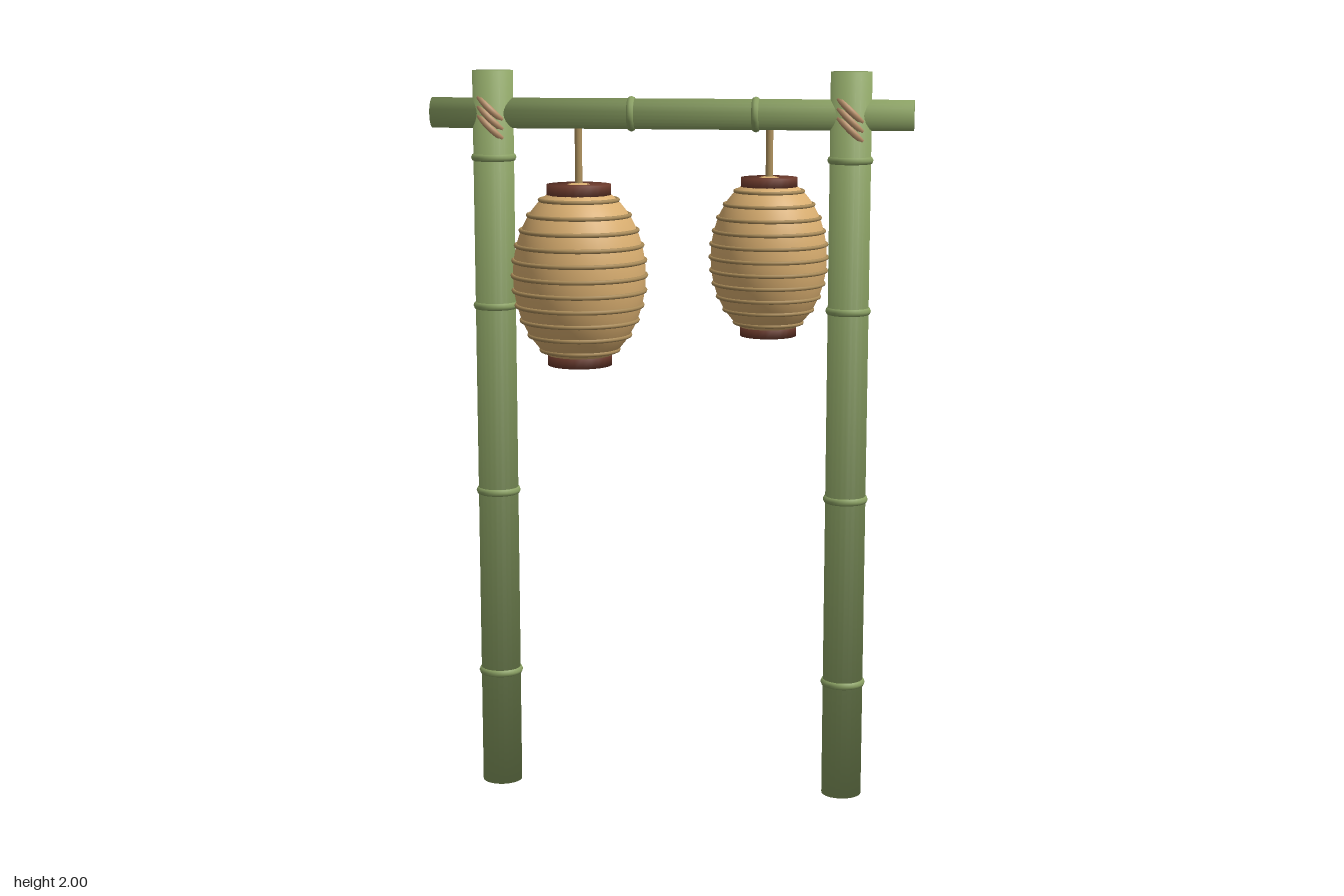
import * as THREE from 'three';

const mat = (name, color) => {
  const m = new THREE.MeshStandardMaterial({ color });
  m.name = name;
  return m;
};

export function createModel() {
  const bamboo = mat('bamboo green', 0x8aa063);
  const paper = mat('lantern paper', 0xd9ae70);
  const ribMat = mat('rib tan', 0xa88a58);
  const wood = mat('red brown wood', 0x6a392b);
  const cord = mat('cord tan', 0xb0935f);
  const lash = mat('lashing rope', 0xb8906a);

  const model = new THREE.Group();
  model.name = 'lanternFrame';

  const add = (parent, name, geometry, material, x = 0, y = 0, z = 0) => {
    const mesh = new THREE.Mesh(geometry, material);
    mesh.name = name;
    mesh.position.set(x, y, z);
    parent.add(mesh);
    return mesh;
  };

  // Cylinder whose rim normals blend softly between the side and the end caps
  const softCylinder = (r, h, sides = 24) => {
    const g = new THREE.CylinderGeometry(r, r, h, sides);
    const p = g.attributes.position;
    for (let i = 0; i < p.count; i++) {
      const x = p.getX(i), z = p.getZ(i);
      if (Math.hypot(x, z) < r * 0.5) continue;
      const n = new THREE.Vector3(x / r, Math.sign(p.getY(i)), z / r).normalize();
      g.attributes.normal.setXYZ(i, n.x, n.y, n.z);
    }
    return g;
  };

  // Ring lying flat around the y axis
  const ring = (r, tube, segments = 32) =>
    new THREE.TorusGeometry(r, tube, 8, segments).rotateX(Math.PI / 2);

  // Bamboo pole along y, centred on its middle, with raised nodes
  const pole = (name, r, length, nodes) => {
    const g = new THREE.Group();
    g.name = name;
    add(g, 'stalk', softCylinder(r, length), bamboo);
    for (const y of nodes) add(g, 'node', ring(r - 0.005, 0.0115), bamboo, 0, y);
    model.add(g);
    return g;
  };

  // Two upright posts, each lashed to the crossbar with three slanted turns
  for (const [side, x] of [['right', -0.483], ['left', 0.483]]) {
    const post = pole(side + 'Post', 0.055, 2, [0.324, 0.844, 1.363, 1.767].map(y => y - 1));
    post.position.set(x, 1, 0);
    for (const dy of [-0.025, 0, 0.025]) {
      const turn = add(post, 'lashing', ring(0.055, 0.009), lash, 0, 0.875 + dy);
      turn.rotation.z = -Math.PI / 4;
    }
  }

  // Crossbar
  const bar = pole('crossbar', 0.041, 1.3, [0.105, -0.23]);
  bar.position.y = 1.886;
  bar.rotation.z = Math.PI / 2;

  // Paper lantern: ellipsoid with ribs, and a wooden cap at each end
  const lantern = (name, x, y, s) => {
    const g = new THREE.Group();
    g.name = name;
    const R = 0.181, H = 0.251;
    add(g, 'paperBody', new THREE.SphereGeometry(R, 40, 28).scale(1, H / R, 1), paper);
    for (let i = -5; i <= 5; i++) {
      const dy = i * 0.041;
      add(g, 'rib', ring(R * Math.sqrt(1 - (dy / H) ** 2) + 0.001, 0.006, 40), ribMat, 0, dy);
    }
    for (const end of [1, -1])
      add(g, end > 0 ? 'topCap' : 'bottomCap', softCylinder(0.088, 0.032), wood, 0, end * 0.231);
    g.position.set(x, y, 0);
    g.scale.setScalar(s);
    model.add(g);

    // Cord from the crossbar down to the lantern
    const bottom = y + 0.24 * s, top = 1.86;
    add(model, name + 'Cord', new THREE.CylinderGeometry(0.01, 0.01, top - bottom, 10), cord,
      x, (top + bottom) / 2);
  };
  lantern('largeLantern', -0.25, 1.449, 1);
  lantern('smallLantern', 0.267, 1.506, 0.865);

  return model;
}
